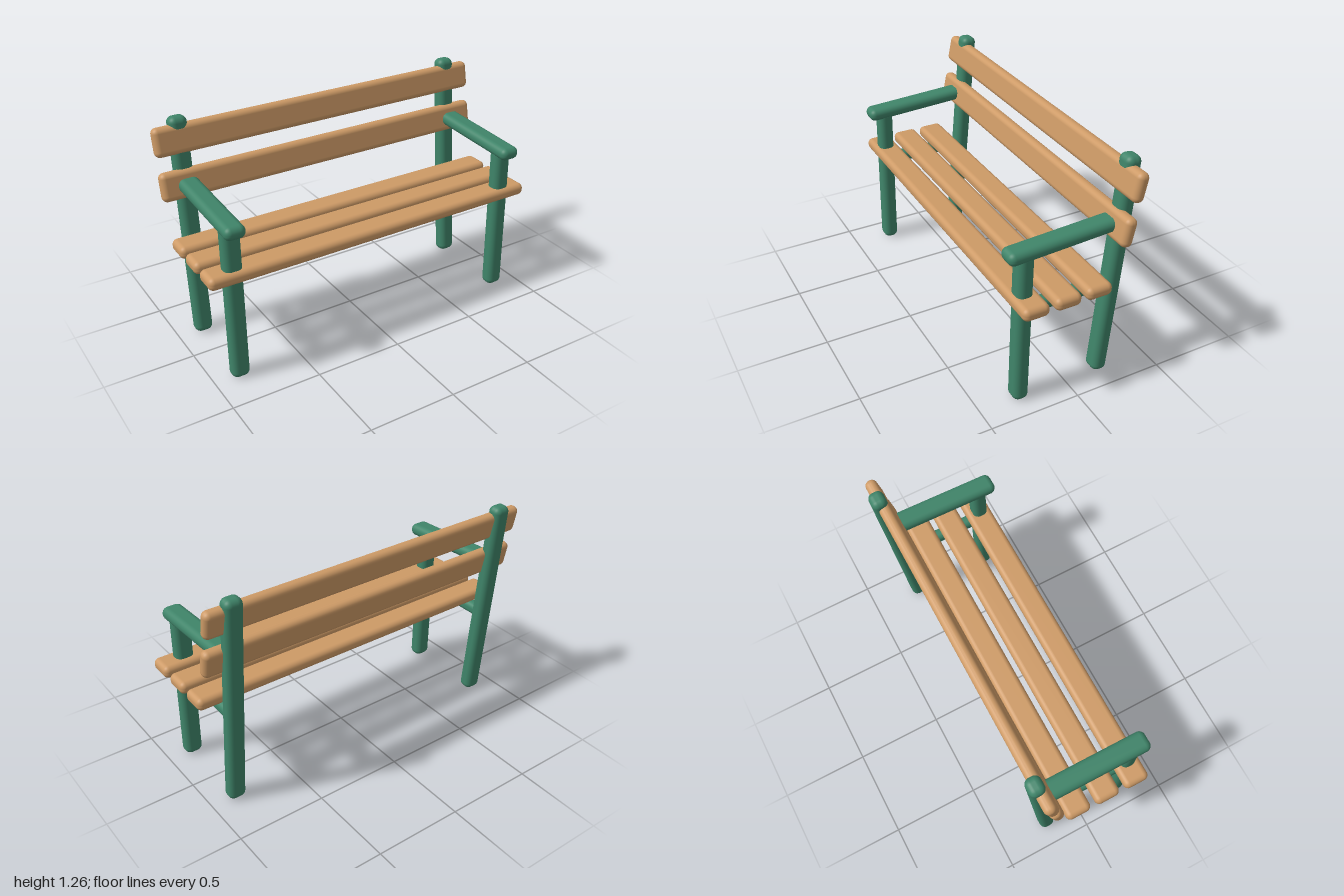
import * as THREE from 'three';
import { RoundedBoxGeometry } from 'three/addons/geometries/RoundedBoxGeometry.js';

const wood = new THREE.MeshStandardMaterial({ color: 0xcd9a66 });
const green = new THREE.MeshStandardMaterial({ color: 0x3f8469 });

// Rounded bar running between two [y, z] points at a given x
function bar(name, x, [y0, z0], [y1, z1], width, depth, radius) {
  const length = Math.hypot(y1 - y0, z1 - z0);
  const mesh = new THREE.Mesh(new RoundedBoxGeometry(width, length, depth, 4, radius), green);
  mesh.position.set(x, (y0 + y1) / 2, (z0 + z1) / 2);
  mesh.rotation.x = Math.atan2(z1 - z0, y1 - y0);
  mesh.name = name;
  return mesh;
}

// Full-width wooden slat
function slat(name, height, depth, y, z, tilt = 0) {
  const mesh = new THREE.Mesh(new RoundedBoxGeometry(2, height, depth, 4, 0.03), wood);
  mesh.position.set(0, y, z);
  mesh.rotation.x = tilt;
  mesh.name = name;
  return mesh;
}

export function createModel() {
  const bench = new THREE.Group();
  bench.name = 'bench';

  // Seat slats
  [0.255, 0.077, -0.099].forEach((z, i) =>
    bench.add(slat(`seatSlat${i + 1}`, 0.07, 0.145, 0.622, z)));

  // Backrest slats, leaning back
  bench.add(slat('lowerBackSlat', 0.157, 0.066, 0.915, -0.244, -0.2));
  bench.add(slat('upperBackSlat', 0.157, 0.066, 1.151, -0.287, -0.2));

  // Side frames
  for (const [side, s] of [['left', 1], ['right', -1]]) {
    const frame = new THREE.Group();
    frame.name = `${side}Frame`;
    const x = s * 0.853;
    frame.add(
      bar('frontLeg', x, [0.003, 0.272], [0.9, 0.257], 0.1, 0.086, 0.034),
      bar('backLeg', x, [0.005, -0.202], [1.267, -0.314], 0.1, 0.086, 0.034),
      bar('armrest', x, [0.887, 0.357], [0.917, -0.255], 0.115, 0.072, 0.034),
      bar('seatRail', x, [0.562, 0.265], [0.562, -0.25], 0.07, 0.072, 0.03),
    );
    bench.add(frame);
  }
  return bench;
}
